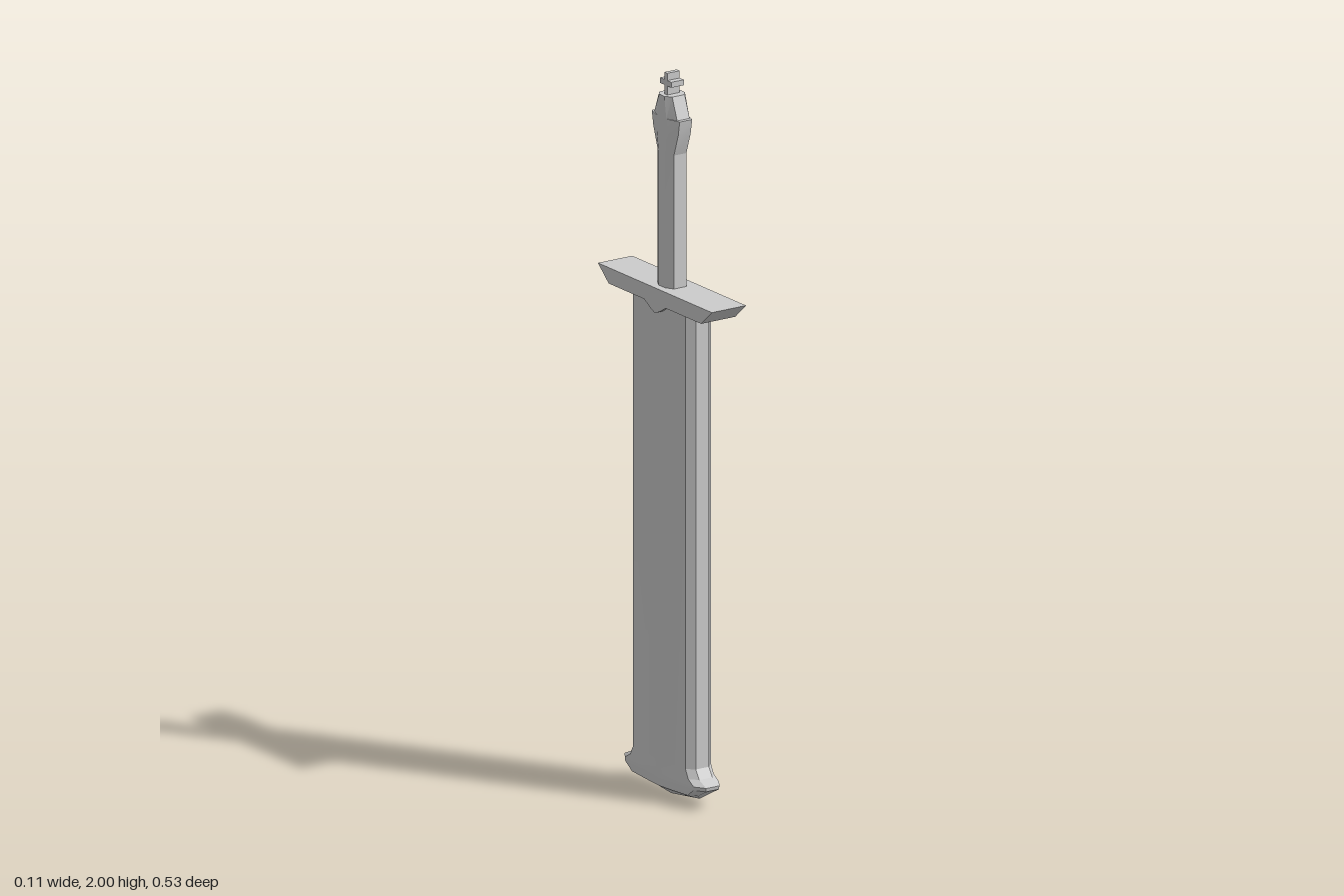
import * as THREE from 'three';
import { toCreasedNormals } from 'three/addons/utils/BufferGeometryUtils.js';

const material = new THREE.MeshStandardMaterial({ color: 0xcccccc });

function part(name, geometry) {
  const mesh = new THREE.Mesh(geometry, material);
  mesh.name = name;
  return mesh;
}

// Skin a stack of closed rings (bottom to top) and cap both ends.
function loft(rings) {
  const n = rings[0].length;
  const pos = rings.flat(2);
  const index = [];
  for (let r = 0; r < rings.length - 1; r++) {
    for (let i = 0; i < n; i++) {
      const a = r * n + i, b = r * n + (i + 1) % n;
      index.push(a, b, b + n, a, b + n, a + n);
    }
  }
  const top = (rings.length - 1) * n;
  for (let i = 1; i < n - 1; i++) {
    index.push(0, i + 1, i, top, top + i, top + i + 1);
  }
  const g = new THREE.BufferGeometry();
  g.setAttribute('position', new THREE.Float32BufferAttribute(pos, 3));
  g.setIndex(index);
  return toCreasedNormals(g, 0.3);
}

// Mirror one side of a section, listed from +z to -z, around to the -x side.
const around = (side) => [...side, ...side.map(([x, y, z]) => [-x, y, -z])];

// Extrude a z-y outline across x, centred.
function acrossX(points, width) {
  const shape = new THREE.Shape(points.map(([z, y]) => new THREE.Vector2(z, y)));
  return new THREE.ExtrudeGeometry(shape, { depth: width, bevelEnabled: false })
    .translate(0, 0, -width / 2).rotateY(Math.PI / 2);
}

// Outline given for one half, bottom to top, completed by mirroring.
const mirrored = (half) => [...half, ...half.slice().reverse().map(([z, y]) => [-z, y])];

// Scabbard section: narrow edge, bevel and gently bulging face.
// sag lowers the middle of the ring relative to its ends.
function scabbardRing(y, edge, bevel, thick = 1, sag = 0) {
  const side = [[0.021, edge], [0.041, bevel], [0.044, bevel / 2], [0.045, 0],
    [0.044, -bevel / 2], [0.041, -bevel], [0.021, -edge]];
  return around(side.map(([x, z]) => [x * thick, y - sag * (1 - Math.abs(z) / edge), z]));
}

// Eight-sided grip section.
function gripRing(y, depth, x = 0.033) {
  const shoulder = depth * 0.4;
  return around([[0.02, y, depth], [x, y, shoulder], [x, y, -shoulder], [0.02, y, -depth]]);
}

export function createModel() {
  const sword = new THREE.Group();
  sword.name = 'sheathedSword';

  // Scabbard with a flared chape and a keeled bottom
  sword.add(part('scabbard', loft([
    scabbardRing(0.018, 0.13, 0.115, 0.06, 0.018),
    scabbardRing(0.034, 0.15, 0.13, 0.95, 0.006),
    scabbardRing(0.055, 0.188, 0.158),
    scabbardRing(0.065, 0.19, 0.16),
    scabbardRing(0.08, 0.157, 0.135),
    scabbardRing(0.105, 0.141, 0.122),
    scabbardRing(1.37, 0.141, 0.122),
  ])));

  // Guard with slanted ends and a small central point below
  sword.add(part('guard', acrossX(
    mirrored([[0, 1.34], [0.02, 1.348], [0.05, 1.366], [0.215, 1.366], [0.265, 1.41]]), 0.11)));

  // Grip swelling into the stepped pommel
  sword.add(part('grip', loft([
    gripRing(1.40, 0.038),
    gripRing(1.78, 0.038),
    gripRing(1.84, 0.058),
    gripRing(1.88, 0.065),
    gripRing(1.88, 0.053),
    gripRing(1.94, 0.03),
  ])));

  // Cross-shaped finial
  sword.add(part('finial', acrossX(
    mirrored([[0.007, 1.935], [0.007, 1.965], [0.026, 1.965], [0.026, 1.98],
      [0.007, 1.98], [0.007, 2]]), 0.04)));

  return sword;
}
